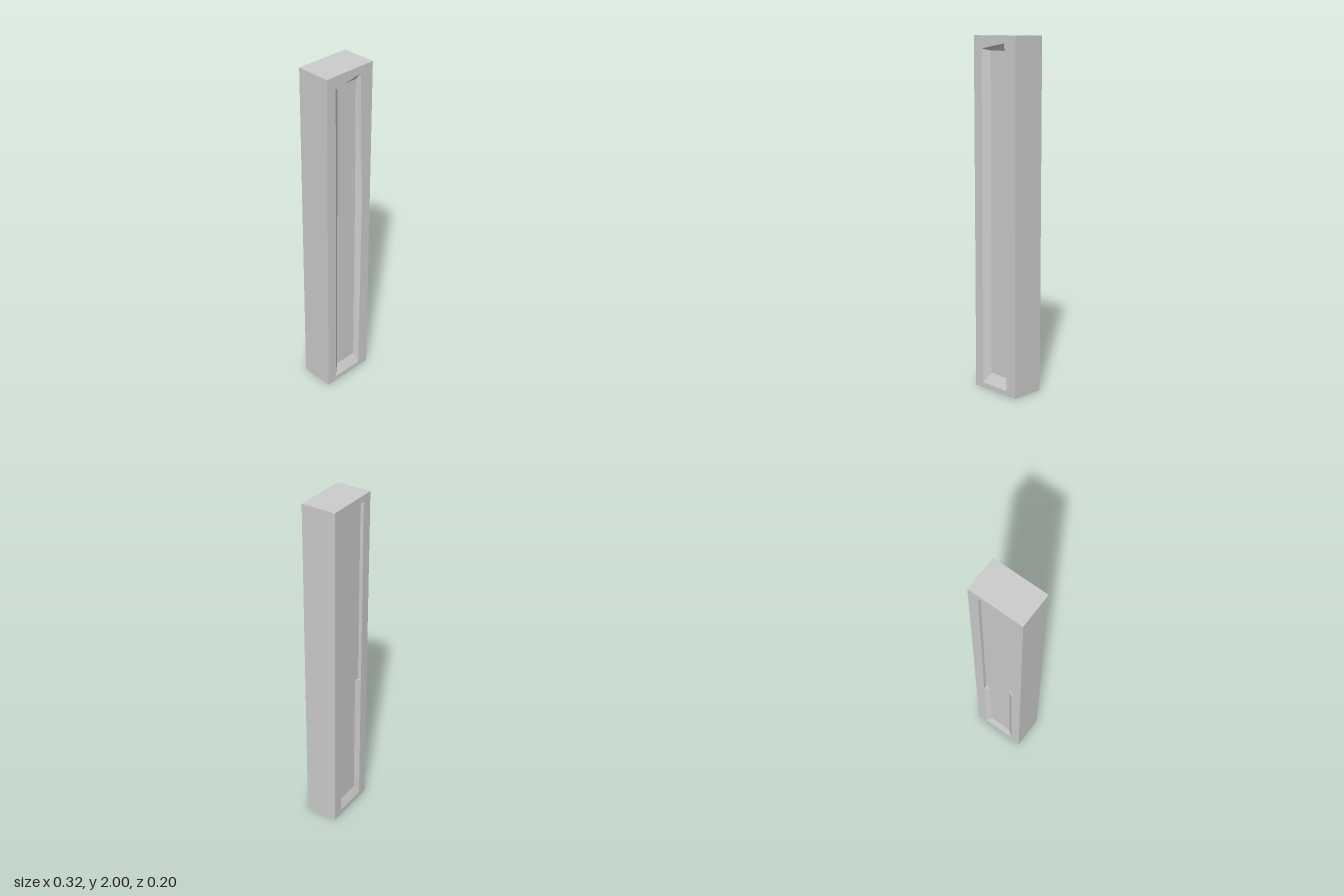
import * as THREE from 'three';

const W = 0.32, H = 2, D = 0.2;
const material = new THREE.MeshStandardMaterial({ color: 0xcccccc, flatShading: true });

const points = (list) => list.map(([x, y]) => new THREE.Vector2(x, y));

function add(parent, geometry, name) {
  const mesh = new THREE.Mesh(geometry, material);
  mesh.name = name;
  parent.add(mesh);
  return mesh;
}

// Ring of sloped walls joining the mouth outline to the sunken floor outline
function slopedWalls(mouth, floor, zMouth, zFloor) {
  const pos = [];
  mouth.forEach((a, i) => {
    const j = (i + 1) % mouth.length;
    const a0 = [...a, zMouth], a1 = [...mouth[j], zMouth];
    const b0 = [...floor[i], zFloor], b1 = [...floor[j], zFloor];
    if (a[0] !== mouth[j][0] || a[1] !== mouth[j][1]) pos.push(...a0, ...a1, ...b1);
    pos.push(...a0, ...b1, ...b0);
  });
  const g = new THREE.BufferGeometry();
  g.setAttribute('position', new THREE.Float32BufferAttribute(pos, 3));
  g.computeVertexNormals();
  return g;
}

// A flat surround with a recessed panel, facing +z (outlines run counterclockwise)
function recessedFace(name, mouth, floor, depth) {
  const group = new THREE.Group();
  group.name = name;
  const surround = new THREE.Shape(points([[-W / 2, 0], [W / 2, 0], [W / 2, H], [-W / 2, H]]));
  const outline = mouth.filter((p, i) => {
    const q = mouth[(i + 1) % mouth.length];
    return p[0] !== q[0] || p[1] !== q[1];
  });
  surround.holes.push(new THREE.Path(points(outline)));
  add(group, new THREE.ShapeGeometry(surround), name + 'Surround').position.z = D / 2;
  add(group, slopedWalls(mouth, floor, D / 2, D / 2 - depth), name + 'RecessWalls');
  add(group, new THREE.ShapeGeometry(new THREE.Shape(points(floor))), name + 'Panel').position.z = D / 2 - depth;
  return group;
}

export function createModel() {
  const model = new THREE.Group();
  model.name = 'recessedPillar';

  // Outer sides, top and bottom (box without its front and back)
  const shell = new THREE.BoxGeometry(W, H, D);
  shell.setIndex(Array.from(shell.index.array).slice(0, 24));
  shell.clearGroups();
  shell.translate(0, H / 2, 0);
  add(model, shell, 'outerSides');

  // Front recess, bevelled all round
  model.add(recessedFace('front',
    [[-0.1, 0.03], [0.09, 0.03], [0.1, 1.2], [0.075, 1.96], [-0.1, 1.93]],
    [[-0.06, 0.09], [0.075, 0.09], [0.075, 1.2], [0.07, 1.92], [-0.06, 1.92]],
    0.03));

  // Back recess, straight walls above and bevelled walls below
  const back = recessedFace('back',
    [[-0.1, 0.035], [0.1, 0.035], [0.1, 0.87], [0.1, 0.87],
      [0.1, 1.965], [-0.1, 1.965], [-0.1, 0.67], [-0.1, 0.67]],
    [[-0.07, 0.09], [0.07, 0.09], [0.07, 0.87], [0.1, 0.87],
      [0.1, 1.96], [-0.1, 1.96], [-0.1, 0.67], [-0.07, 0.67]],
    0.02);
  back.rotation.y = Math.PI;
  model.add(back);

  return model;
}
